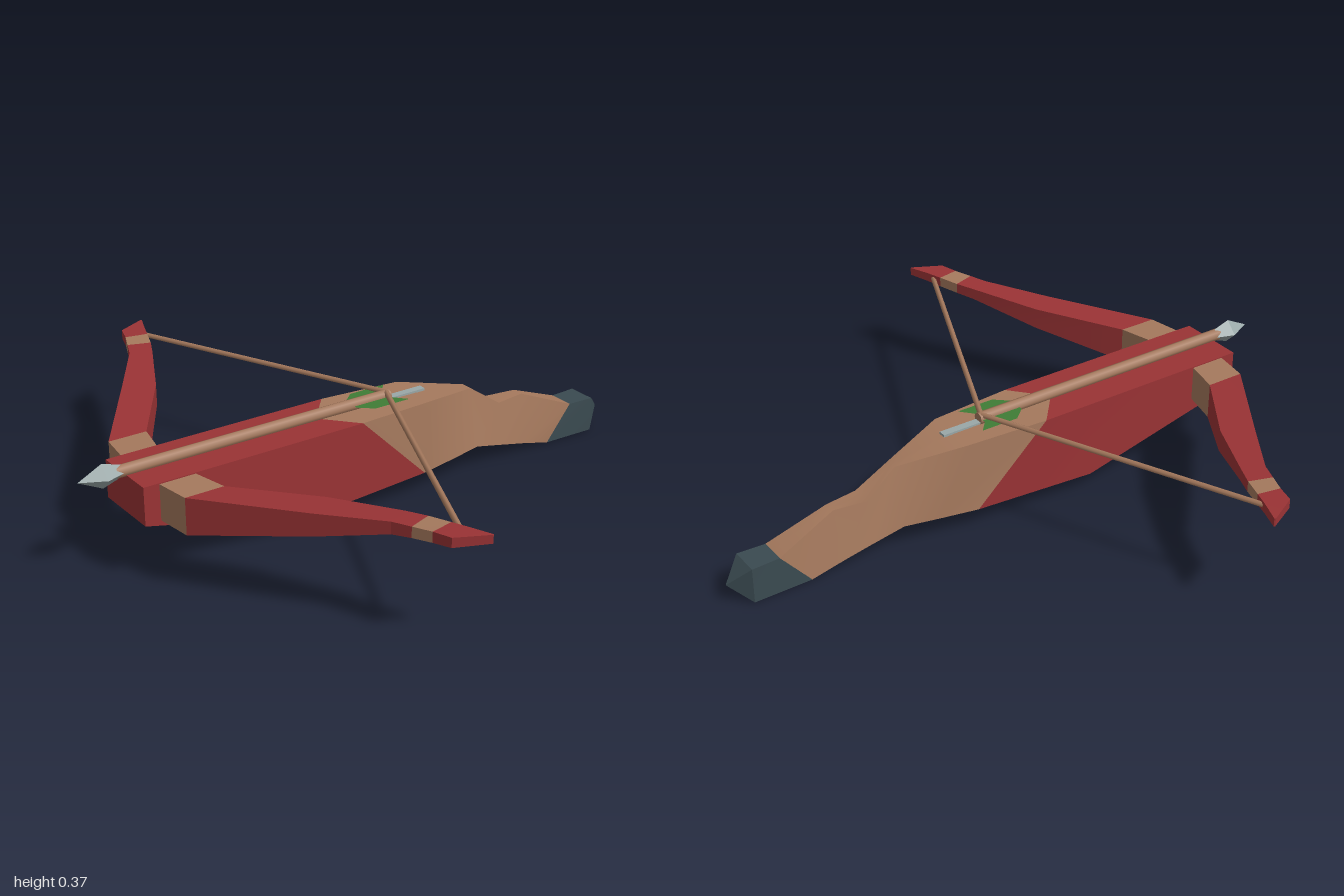
import * as THREE from 'three';
import { toCreasedNormals } from 'three/addons/utils/BufferGeometryUtils.js';

const material = (name, color, side = THREE.FrontSide) => {
  const m = new THREE.MeshStandardMaterial({ color, side });
  m.name = name;
  return m;
};

// Skin a series of cross-section rings (counter-clockwise seen from the far end), capped at both ends
function loft(rings, crease = 0.5) {
  const n = rings[0].length, last = rings.length - 1, idx = [];
  for (let s = 0; s < last; s++) {
    for (let i = 0; i < n; i++) {
      const a = s * n + i, b = s * n + (i + 1) % n;
      idx.push(a, b, a + n, b, b + n, a + n);
    }
  }
  for (let i = 1; i < n - 1; i++) {
    idx.push(0, i + 1, i);
    idx.push(last * n, last * n + i, last * n + i + 1);
  }
  const g = new THREE.BufferGeometry();
  g.setAttribute('position', new THREE.Float32BufferAttribute(rings.flat(2), 3));
  g.setIndex(idx);
  return toCreasedNormals(g, crease);
}

// Stock section: top centre x, top edge x / y / half width, bottom x / y / half width
const stockRing = ([xc, xt, yt, wt, xb, yb, wb]) =>
  [[xc, yt, 0], [xt, yt, wt], [xb, yb, wb], [xb, yb, -wb], [xt, yt, -wt]];

// Limb section: outer x / z, inner x / z, top y, bottom y
const limbRing = ([xo, zo, xi, zi, yt, yb]) =>
  [[xo, yt, zo], [xo, yb, zo], [xi, yb, zi], [xi, yt, zi]];

const mirrorRing = ring => ring.map(([x, y, z]) => [x, y, -z]).reverse();

function rod(from, to, radius, sides) {
  const a = new THREE.Vector3(...from), b = new THREE.Vector3(...to);
  return new THREE.TubeGeometry(new THREE.LineCurve3(a, b), 1, radius, sides);
}

export function createModel() {
  const model = new THREE.Group();
  model.name = 'crossbow';
  const red = material('red paint', 0x9a3335);
  const wood = material('wood', 0xa5795d);
  const dark = material('dark steel', 0x3a4a50);
  const grey = material('light steel', 0x9aa8a8);
  const green = material('green feather', 0x3f7d36, THREE.DoubleSide);

  const add = (name, geometry, mat, parent = model) => {
    const mesh = new THREE.Mesh(geometry, mat);
    mesh.name = name;
    parent.add(mesh);
    return mesh;
  };

  // Stock: painted fore end, wooden grip, steel butt
  const stock = [
    [-0.85, -0.85, 0.315, 0.115, -0.85, 0.19, 0.115],
    [-0.26, -0.26, 0.315, 0.115, -0.26, 0.05, 0.115],
    [-0.18, -0.08, 0.315, 0.115, 0.17, 0.07, 0.105],
    [0.2, 0.2, 0.312, 0.095, 0.3, 0.075, 0.085],
    [0.42, 0.42, 0.275, 0.02, 0.42, 0.08, 0.065],
    [0.53, 0.53, 0.2, 0.035, 0.53, 0.054, 0.058],
    [0.64, 0.64, 0.2, 0.02, 0.63, 0.031, 0.054],
    [0.84, 0.84, 0.12, 0.045, 0.74, 0.003, 0.05],
    [0.935, 0.935, 0.12, 0.05, 0.935, 0, 0.05],
    [1, 1, 0.062, 0.001, 1, 0.06, 0.001],
  ].map(stockRing);
  add('foreEnd', loft(stock.slice(0, 3)), red);
  add('grip', loft(stock.slice(2, 8), 0.7), wood);
  add('butt', loft(stock.slice(7)), dark);

  // Bow limbs with wooden roots and bands, and the drawn string
  const limb = [
    [-0.8, 0.1, -0.68, 0.1, 0.312, 0.195],
    [-0.78, 0.23, -0.65, 0.23, 0.31, 0.19],
    [-0.56, 0.55, -0.47, 0.49, 0.33, 0.258],
    [-0.43, 0.74, -0.36, 0.71, 0.347, 0.308],
    [-0.405, 0.8, -0.33, 0.775, 0.35, 0.315],
    [-0.38, 0.86, -0.305, 0.845, 0.353, 0.319],
    [-0.362, 0.92, -0.285, 0.9, 0.355, 0.324],
    [-0.262, 0.97, -0.258, 0.968, 0.355, 0.328],
  ].map(limbRing);
  for (const side of [1, -1]) {
    const group = new THREE.Group();
    group.name = side > 0 ? 'leftLimb' : 'rightLimb';
    model.add(group);
    const rings = side > 0 ? limb : limb.map(mirrorRing);
    // Mirrored rings keep their winding outward since the sweep runs toward -z
    const parts = [['limbRoot', 0, 2, wood], ['limbArm', 1, 5, red], ['limbBand', 4, 6, wood], ['limbTip', 5, 8, red]];
    for (const [name, from, to, mat] of parts) add(name, loft(rings.slice(from, to), 0.2), mat, group);
    add('string', rod([-0.3, 0.338, 0.885 * side], [0.09, 0.338, 0], 0.009, 6), wood, group);
  }

  // Bolt: shaft, four-sided head and two flat feathers
  const bolt = new THREE.Group();
  bolt.name = 'bolt';
  model.add(bolt);
  const shaft = new THREE.CylinderGeometry(0.02, 0.02, 0.98, 8).rotateZ(Math.PI / 2);
  add('shaft', shaft, wood, bolt).position.set(-0.39, 0.326, 0);
  const profile = [[0, -0.14], [0.02, -0.14], [0.04, -0.08], [0, 0]].map(p => new THREE.Vector2(...p));
  const head = toCreasedNormals(new THREE.LatheGeometry(profile, 4), 0.1).rotateZ(Math.PI / 2);
  add('head', head, grey, bolt).position.set(-1, 0.326, 0);
  for (const side of [1, -1]) {
    const outline = [[-0.045, 0.015], [-0.045, 0.03], [0, 0.07], [0.13, 0.07], [0.095, 0.03], [0.095, 0.015]];
    const shape = new THREE.Shape(outline.map(([x, z]) => new THREE.Vector2(x, z * side)));
    const feather = new THREE.ShapeGeometry(shape).rotateX(Math.PI / 2);
    add('feather', feather, green, bolt).position.y = 0.328;
  }

  // Steel channel and its wooden tail behind the bolt
  add('channel', new THREE.BoxGeometry(0.14, 0.008, 0.026), grey).position.set(0.165, 0.315, 0);
  return model;
}
